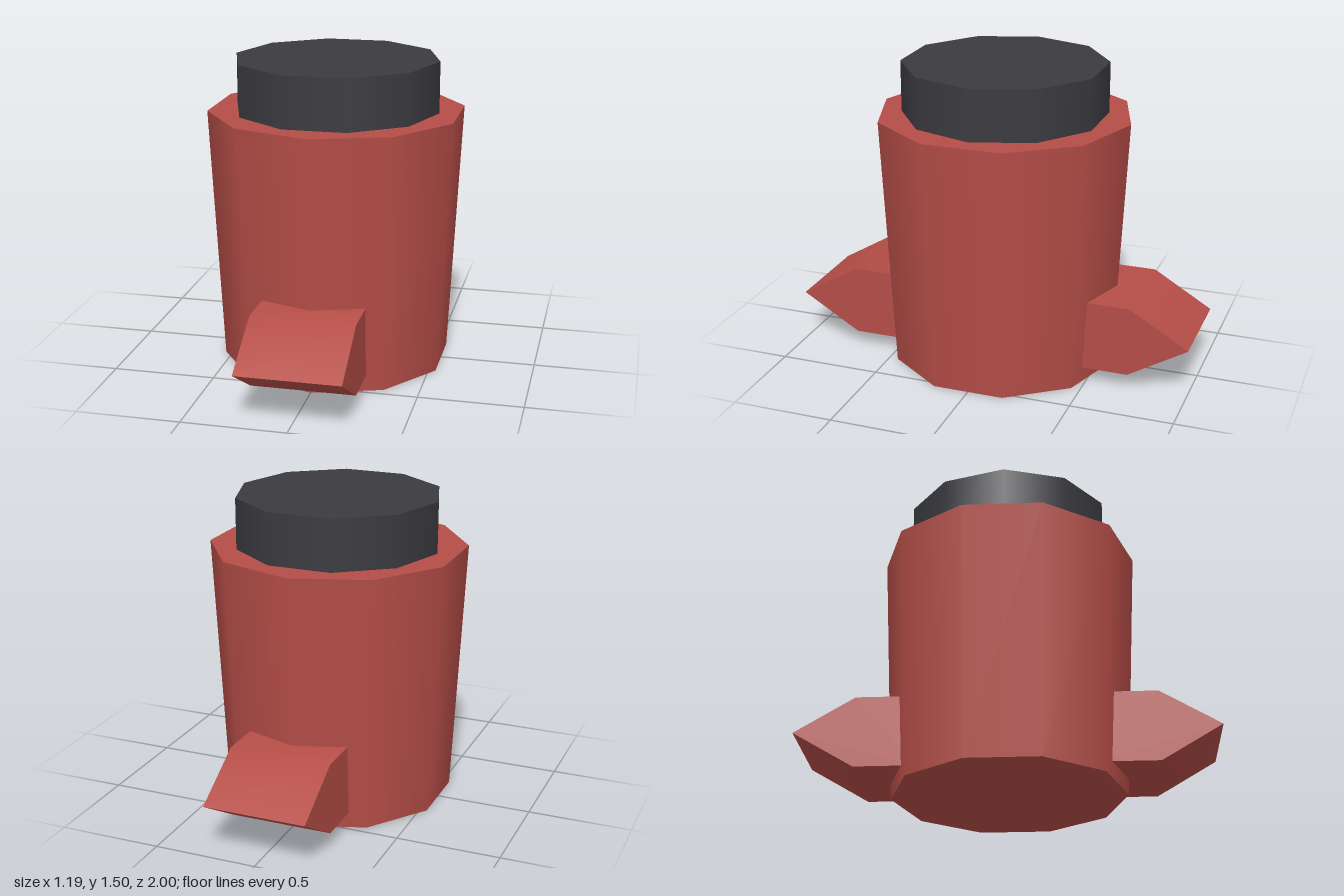
import * as THREE from 'three';
import { toCreasedNormals } from 'three/addons/utils/BufferGeometryUtils.js';

export function createModel() {
  const group = new THREE.Group();
  const red = new THREE.MeshStandardMaterial({ color: 0xb54d47 });
  red.name = 'red';
  const charcoal = new THREE.MeshStandardMaterial({ color: 0x3b3a40 });
  charcoal.name = 'charcoal';

  const add = (name, geometry, material) => {
    const mesh = new THREE.Mesh(geometry, material);
    mesh.name = name;
    group.add(mesh);
    return mesh;
  };

  // Tapered ten-sided body, a corner facing front
  add('body', new THREE.CylinderGeometry(0.625, 0.5625, 1.25, 10), red).position.y = 0.625;

  // Narrower cap, turned half a side
  const cap = add('cap', new THREE.CylinderGeometry(0.5, 0.5, 0.25, 10), charcoal);
  cap.position.y = 1.375;
  cap.rotation.y = Math.PI / 10;

  // Pointed lugs at front and back, rooted inside the body
  const profile = new THREE.Shape([
    [0.42, 0.077], [0.71, 0.077], [1, 0.25], [0.71, 0.423], [0.42, 0.423],
  ].map(([z, y]) => new THREE.Vector2(z, y)));
  const lug = new THREE.ExtrudeGeometry(profile, { depth: 0.5, bevelEnabled: false });
  lug.translate(0, 0, -0.25).rotateY(-Math.PI / 2);
  const lugGeometry = toCreasedNormals(lug, 0.7);
  add('frontLug', lugGeometry, red);
  add('backLug', lugGeometry, red).rotation.y = Math.PI;

  return group;
}
